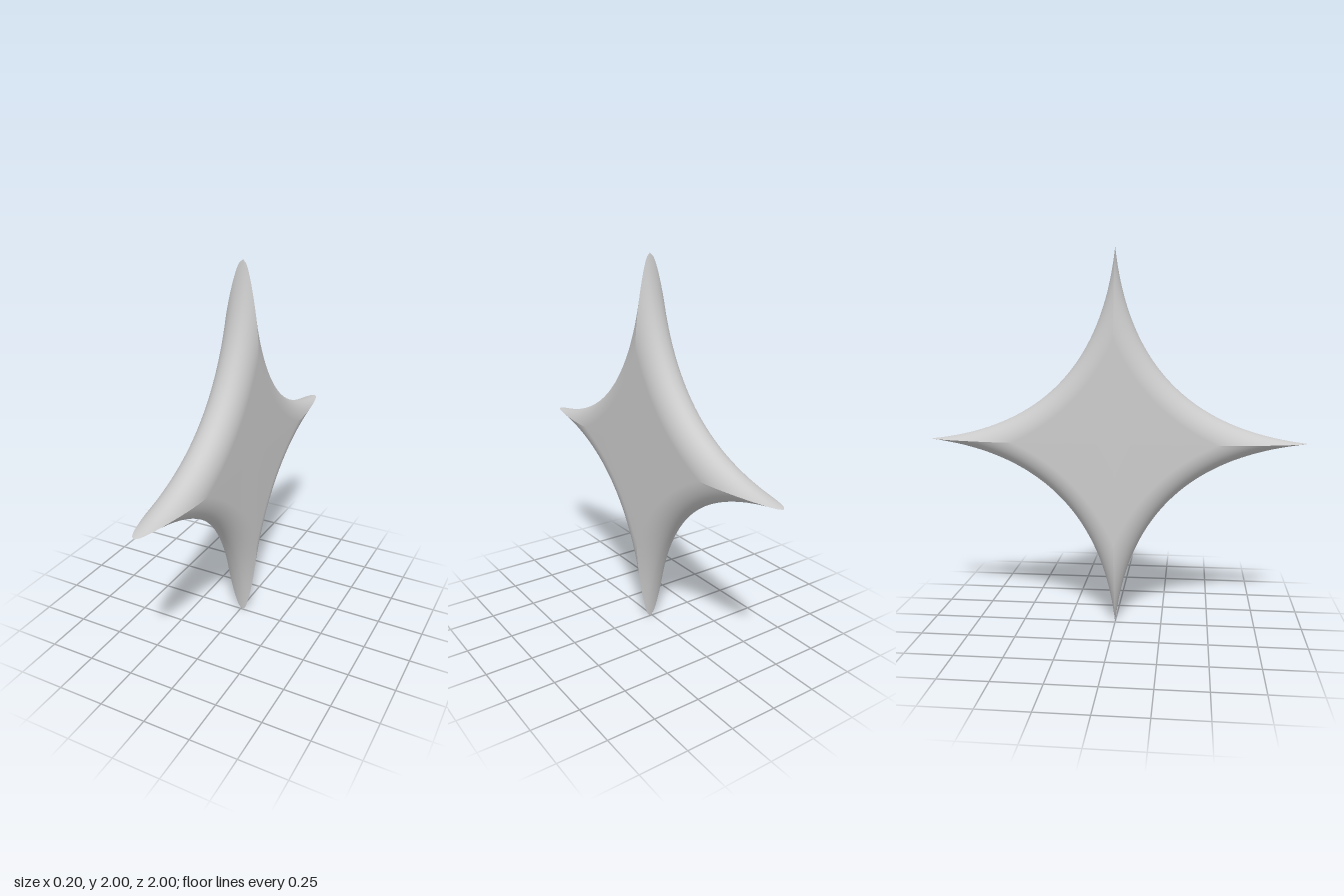
import * as THREE from 'three';

const CTRL = 0.1;      // control point of the concave edge curve
const BEVEL = 0.12;    // how far the rounding reaches in from the edge
const FACE = 0.1;      // half thickness
const RIM = 0.013;     // x of the sharpest line around the edge
const STEPS = 96, ROUND = 24;

// One quarter of the star: a rounded rim swept along the edge, plus its two flat faces
function quarterGeometry() {
  const pos = [], idx = [], flat = [];
  for (let i = 0; i <= STEPS; i++) {
    const t = i / STEPS, u = 1 - t;
    const z = 2 * t * u * CTRL + t * t, y = u * u + 2 * t * u * CTRL;
    // inward normal of the edge
    const dz = 2 * CTRL * (u - t) + 2 * t, dy = -2 * u + 2 * CTRL * (u - t);
    const len = Math.hypot(dz, dy), nz = dy / len, ny = -dz / len;
    // near the tips the rounding stops at the ridge shared with the next quarter
    const reach = Math.max(0, Math.min(BEVEL, -z / nz, -y / ny));
    const maxA = Math.acos(1 - reach / BEVEL);
    flat.push(reach >= BEVEL);
    for (let j = 0; j <= ROUND; j++) {
      const a = maxA * (2 * j / ROUND - 1);
      const s = BEVEL * (1 - Math.cos(a));
      const x = RIM + Math.sin(a) * (a > 0 ? FACE - RIM : FACE + RIM);
      pos.push(x, y + ny * s, z + nz * s);
    }
  }
  const row = ROUND + 1, back = pos.length / 3, front = back + 1;
  pos.push(-FACE, 0, 0, FACE, 0, 0);
  for (let i = 0; i < STEPS; i++) {
    const a = i * row, b = a + row;
    for (let j = 0; j < ROUND; j++) {
      idx.push(a + j, b + j, a + j + 1, b + j, b + j + 1, a + j + 1);
    }
    if (flat[i] || flat[i + 1]) {
      idx.push(a + ROUND, b + ROUND, front, back, b, a);
    }
  }
  const g = new THREE.BufferGeometry();
  g.setAttribute('position', new THREE.Float32BufferAttribute(pos, 3));
  g.setIndex(idx);
  g.computeVertexNormals();
  return g;
}

export function createModel() {
  const star = new THREE.Group();
  star.name = 'fourPointStar';
  const material = new THREE.MeshStandardMaterial({ color: 0xcccccc });
  const geometry = quarterGeometry();
  // four equal quarters around the x axis
  for (let k = 0; k < 4; k++) {
    const quarter = new THREE.Mesh(geometry, material);
    quarter.name = 'starQuarter' + (k + 1);
    quarter.rotation.x = k * Math.PI / 2;
    quarter.position.y = 1;
    star.add(quarter);
  }
  return star;
}
